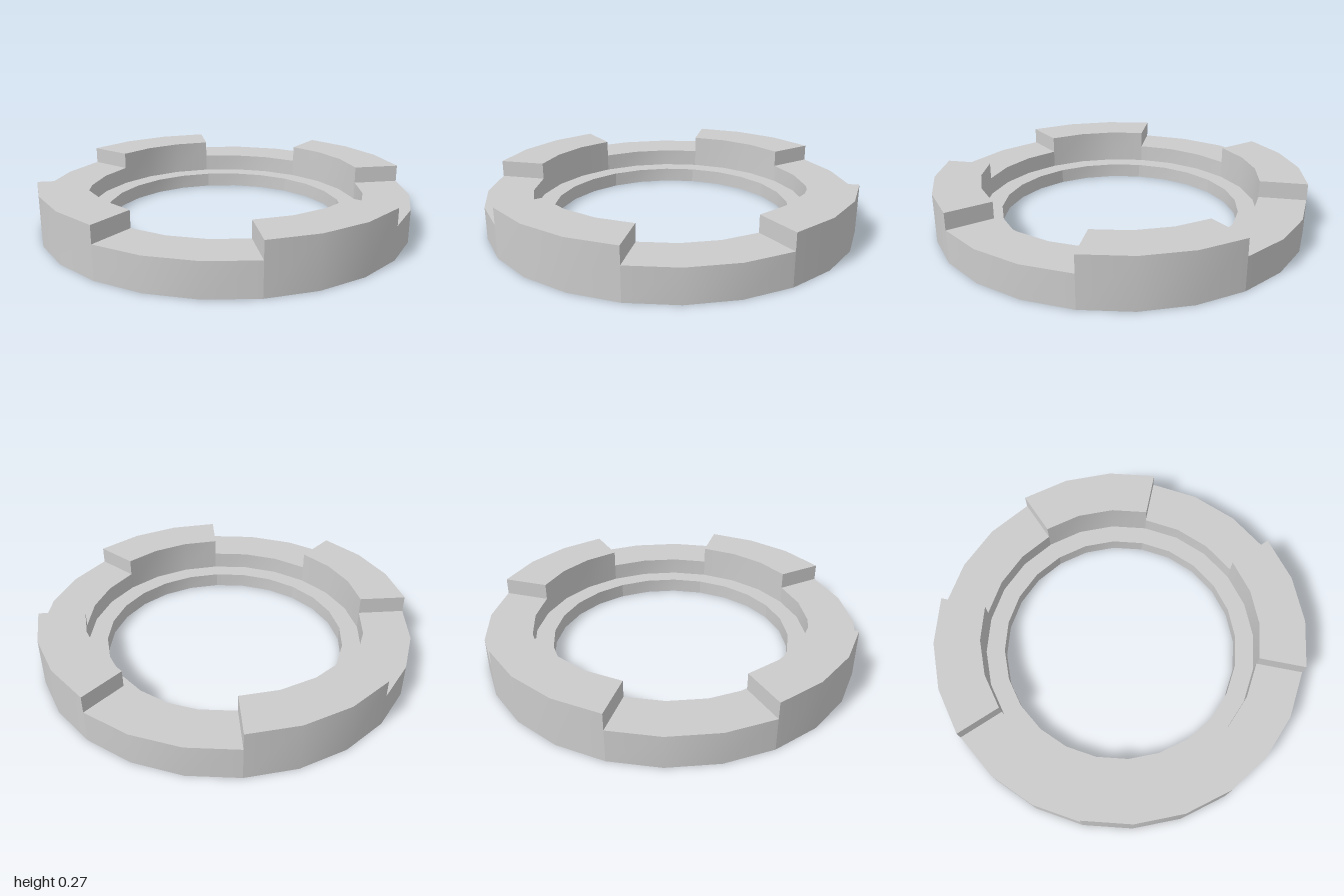
import * as THREE from 'three';

const OUTER = 1, INNER = 0.752, BORE = 0.65;
const LEDGE = 0.08, LOW = 0.175, HIGH = 0.265;
const SECTOR = Math.PI / 4, STEPS = 3;

const material = new THREE.MeshStandardMaterial({ color: 0xcccccc, side: THREE.DoubleSide });

function addMesh(parent, geometry, name) {
  const mesh = new THREE.Mesh(geometry, material);
  mesh.name = name;
  parent.add(mesh);
  return mesh;
}

// Surface swept through one sector between two [radius, height] points
function sweep(from, to) {
  const positions = [], index = [];
  for (let i = 0; i <= STEPS; i++) {
    const a = (i / STEPS) * SECTOR;
    for (const [r, y] of [from, to]) positions.push(r * Math.cos(a), y, r * Math.sin(a));
    if (i < STEPS) {
      const k = 2 * i;
      index.push(k, k + 1, k + 2, k + 1, k + 3, k + 2);
    }
  }
  const g = new THREE.BufferGeometry();
  g.setAttribute('position', new THREE.Float32BufferAttribute(positions, 3));
  g.setIndex(index);
  g.computeVertexNormals();
  return g;
}

// Radial walls closing both ends of a sector between two heights
function addEndWalls(parent, y0, y1) {
  for (const end of [0, 1]) {
    const g = new THREE.PlaneGeometry(OUTER - INNER, y1 - y0);
    if (end === 0) g.rotateY(Math.PI);
    g.translate((OUTER + INNER) / 2, (y0 + y1) / 2, 0);
    g.rotateY(-end * SECTOR);
    addMesh(parent, g, 'endWall');
  }
}

function createSector(raised) {
  const sector = new THREE.Group();
  sector.name = raised ? 'raisedTooth' : 'lowBlock';
  const top = raised ? HIGH : LOW;
  addMesh(sector, sweep([OUTER, 0], [OUTER, top]), 'outerWall');
  addMesh(sector, sweep([OUTER, top], [INNER, top]), 'topFace');
  addMesh(sector, sweep([INNER, top], [INNER, LEDGE]), 'innerWall');
  // Inner ledge, open underneath
  addMesh(sector, sweep([INNER, LEDGE], [BORE, LEDGE]), 'ledgeTop');
  addMesh(sector, sweep([BORE, LEDGE], [BORE, 0]), 'boreWall');
  if (raised) {
    // Teeth are hollow from below
    addEndWalls(sector, LOW, HIGH);
  } else {
    addMesh(sector, sweep([INNER, LEDGE], [INNER, 0]), 'lowerInnerWall');
    addMesh(sector, sweep([INNER, 0], [OUTER, 0]), 'bottomFace');
    addEndWalls(sector, 0, LOW);
  }
  return sector;
}

export function createModel() {
  const ring = new THREE.Group();
  ring.name = 'toothedRing';
  // Eight sectors, alternately raised and low
  for (let i = 0; i < 8; i++) {
    const sector = createSector(i % 2 === 0);
    sector.rotation.y = -i * SECTOR;
    ring.add(sector);
  }
  return ring;
}
